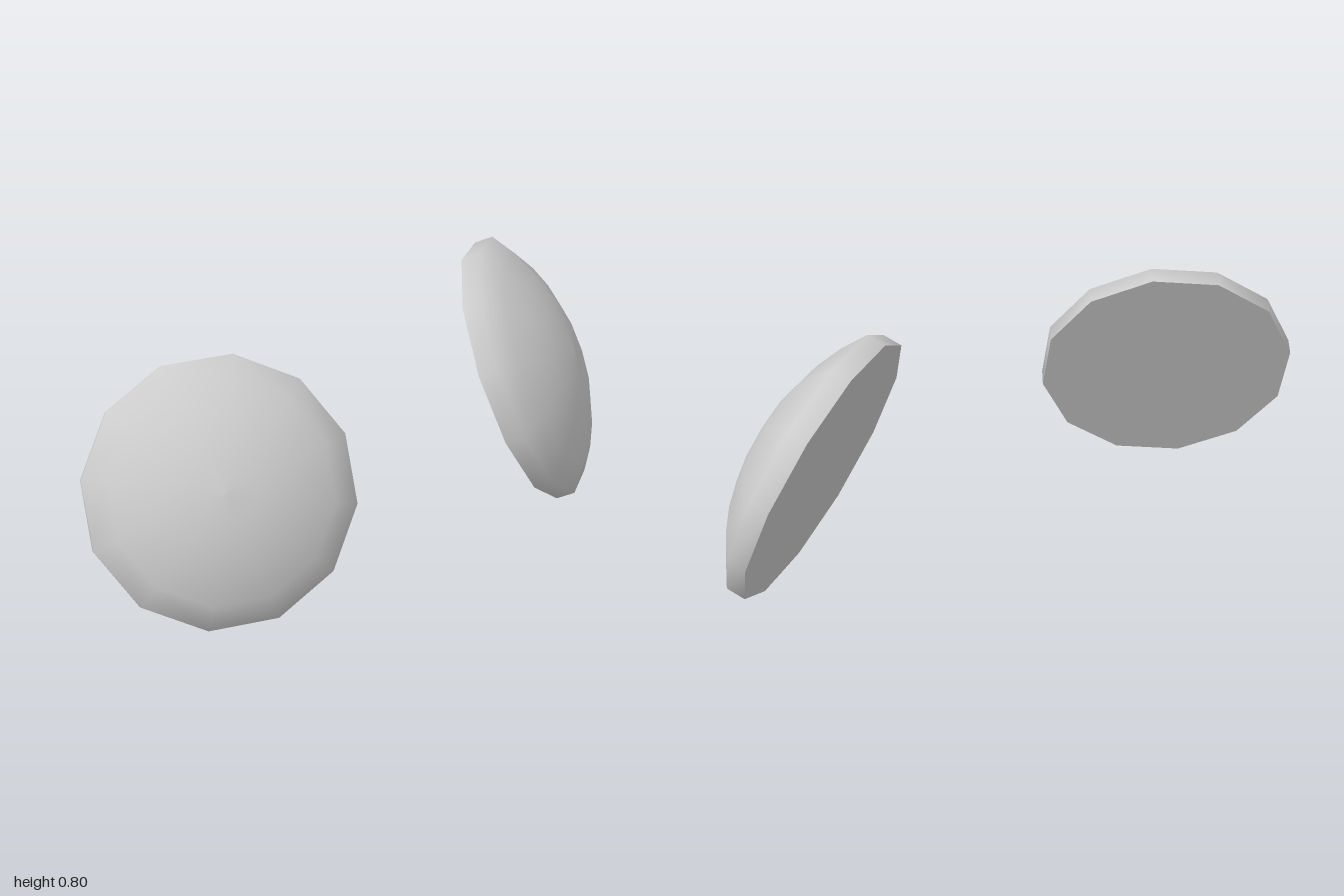
import * as THREE from 'three';

const SIDES = 12;
const RADIUS = 0.427, WALL = 0.06, HEIGHT = 0.205;

// Domed disc standing on y = 0, dome towards +y, one rim corner on +z
function makeDisc(name, material) {
  const disc = new THREE.Group();
  disc.name = name;

  // short straight wall, then a shallow circular arc up to the crown
  const rise = HEIGHT - WALL;
  const arcRadius = (RADIUS * RADIUS + rise * rise) / (2 * rise);
  const arcAngle = Math.asin(RADIUS / arcRadius);
  const profile = [new THREE.Vector2(RADIUS, 0)];
  const steps = 5;
  for (let i = 0; i <= steps; i++) {
    const a = arcAngle * (1 - i / steps);
    profile.push(new THREE.Vector2(
      arcRadius * Math.sin(a),
      HEIGHT - arcRadius * (1 - Math.cos(a))
    ));
  }
  const dome = new THREE.Mesh(new THREE.LatheGeometry(profile, SIDES), material);
  dome.name = 'dome';

  // flat back
  const back = new THREE.Mesh(new THREE.CircleGeometry(RADIUS, SIDES).rotateX(Math.PI / 2), material);
  back.name = 'flatBack';

  disc.add(dome, back);
  return disc;
}

// Turn the disc to face outward, up and forward; side is +1 (left) or -1 (right)
function placeDisc(disc, side, centreX, scale) {
  const normal = new THREE.Vector3(0.51 * side, 0.4, 0.76).normalize();
  const corner = new THREE.Vector3(0.034 * side, 0.365, -0.215);
  const across = new THREE.Vector3().crossVectors(normal, corner).normalize();
  corner.crossVectors(across, normal);
  disc.quaternion.setFromRotationMatrix(new THREE.Matrix4().makeBasis(across, normal, corner));
  disc.scale.setScalar(scale);
  // the middle of the wall sits on the given centre
  disc.position.set(centreX, 0.398, 0).addScaledVector(normal, -WALL * scale / 2);
}

export function createModel() {
  const model = new THREE.Group();
  model.name = 'domedDiscPair';
  const material = new THREE.MeshStandardMaterial({ color: 0xcccccc });

  const left = makeDisc('leftDisc', material);
  placeDisc(left, 1, 0.63, 1);
  const right = makeDisc('rightDisc', material);
  placeDisc(right, -1, -0.662, 0.915);

  model.add(left, right);
  return model;
}
